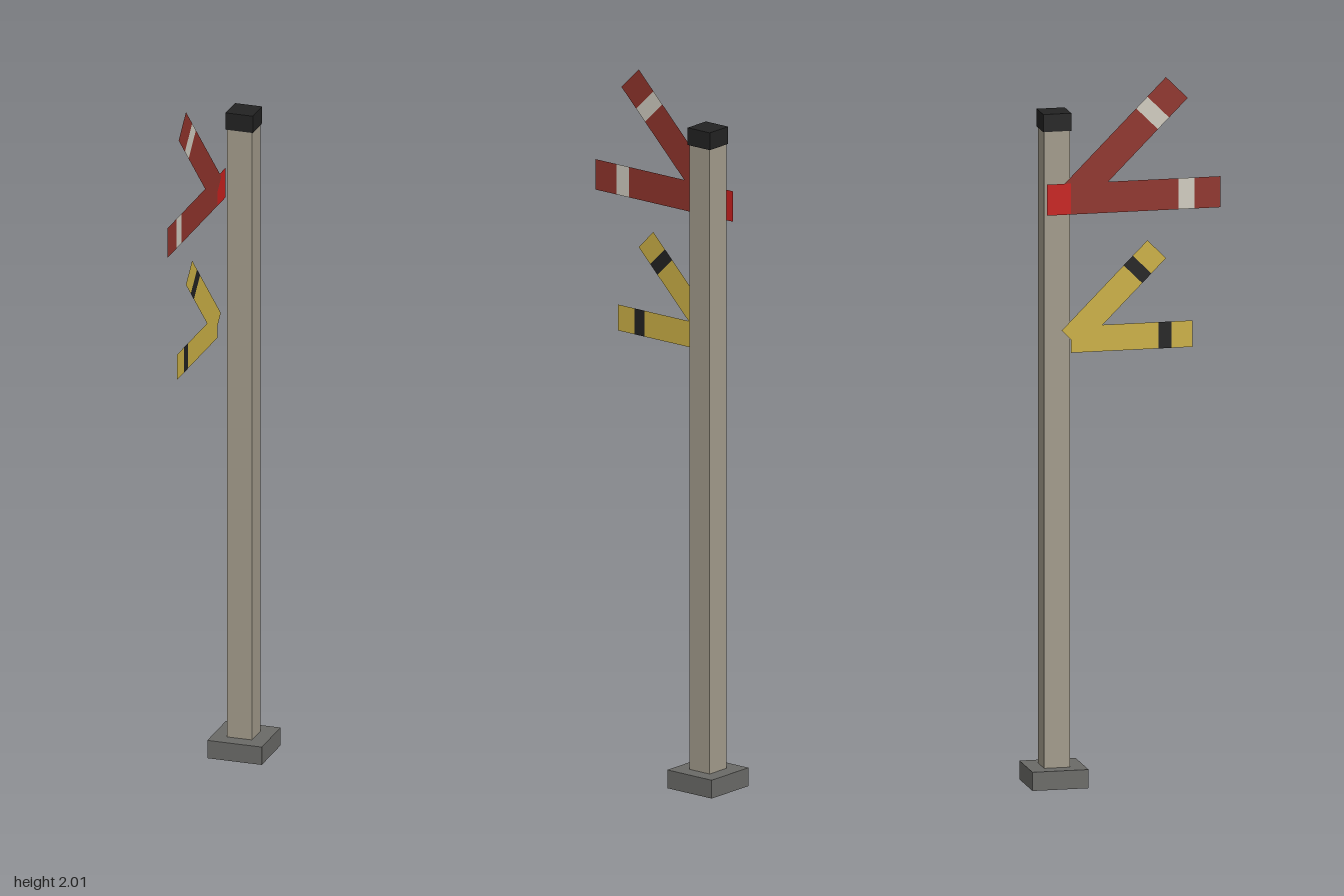
import * as THREE from 'three';

const mat = (name, color) => {
  const m = new THREE.MeshStandardMaterial({ color, side: THREE.DoubleSide });
  m.name = name;
  return m;
};

export function createModel() {
  const model = new THREE.Group();
  model.name = 'railwaySignal';
  const post = mat('weathered post', 0xa29b8b);
  const base = mat('base grey', 0x6a6a67);
  const black = mat('black', 0x222222);
  const red = mat('arm red', 0x90342c);
  const white = mat('stripe white', 0xd0ccc0);
  const yellow = mat('arm yellow', 0xcbb046);
  const lens = mat('lens red', 0xc8201e);

  // Square post sections, open underneath
  const POST_Z = -0.19;
  function section(name, width, y0, y1, material) {
    const g = new THREE.BoxGeometry(width, y1 - y0, width);
    const index = Array.from(g.index.array);
    index.splice(18, 6); // leave out the underside
    g.setIndex(index);
    g.clearGroups();
    const mesh = new THREE.Mesh(g, material);
    mesh.name = name;
    mesh.position.set(0, (y0 + y1) / 2, POST_Z);
    model.add(mesh);
  }
  section('base', 0.16, 0, 0.053, base);
  section('post', 0.073, 0, 1.86, post);
  section('cap', 0.08, 1.86, 1.91, black);

  // Flat signal blades, split lengthwise into coloured panels from the pivot
  const ARM_X = -0.066, PIVOT_Z = -0.157;
  function blade(name, y, height, angle, panels) {
    const arm = new THREE.Group();
    arm.name = name;
    for (const [part, from, to, material] of panels) {
      const g = new THREE.PlaneGeometry(to - from, height);
      g.rotateY(-Math.PI / 2); // length along +z
      g.translate(0, 0, (from + to) / 2);
      const mesh = new THREE.Mesh(g, material);
      mesh.name = part;
      arm.add(mesh);
    }
    arm.position.set(ARM_X + (angle ? 0.0005 : 0), y, PIVOT_Z);
    arm.rotation.x = -angle;
    model.add(arm);
  }
  const stripes = (length, a, b, main, stripe) => [
    ['bladeInner', 0, a, main],
    ['bladeStripe', a, b, stripe],
    ['bladeTip', b, length, main],
  ];
  const upper = stripes(0.427, 0.307, 0.352, red, white);
  const lower = stripes(0.346, 0.25, 0.287, yellow, black);

  blade('upperArmLevel', 1.672, 0.088, 0, [['lens', -0.068, 0, lens], ...upper]);
  blade('upperArmRaised', 1.672, 0.088, Math.PI / 4, upper);
  blade('lowerArmLevel', 1.273, 0.075, 0, lower);
  blade('lowerArmRaised', 1.273, 0.075, Math.PI / 4, lower);

  return model;
}
